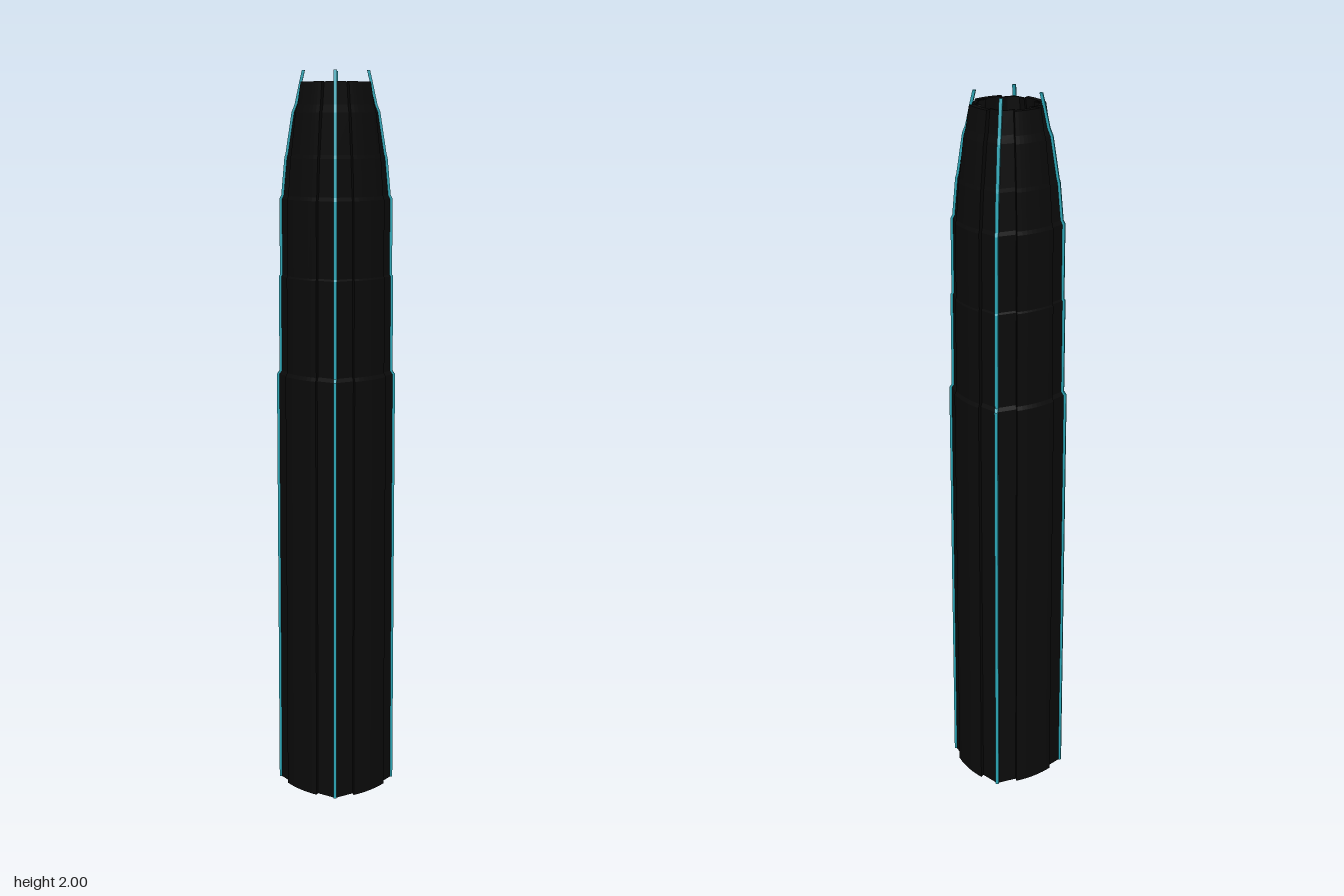
import * as THREE from 'three';

const black = new THREE.MeshStandardMaterial({ color: 0x0b0b0b, flatShading: true, side: THREE.DoubleSide });
const teal = new THREE.MeshStandardMaterial({ color: 0x2aa5b5, flatShading: true, side: THREE.DoubleSide });

// Height and ridge radius, with small setbacks up the tower
const PROFILE = [
  [0, 0.161], [1.18, 0.161], [1.19, 0.154], [1.45, 0.154], [1.455, 0.151], [1.66, 0.151],
  [1.67, 0.146], [1.77, 0.137], [1.78, 0.134], [1.89, 0.117], [1.91, 0.109], [1.97, 0.096],
];
const BASE = PROFILE[0][1];

// Lofts closed [x, z] sections (clockwise seen from above) through the given heights
function loft(heights, sections) {
  const n = sections[0].length;
  const pos = sections.flatMap((s, j) => s.flatMap(([x, z]) => [x, heights[j], z]));
  const index = [];
  for (let j = 0; j < sections.length - 1; j++) {
    for (let i = 0; i < n; i++) {
      const a = j * n + i, b = j * n + (i + 1) % n;
      index.push(a, a + n, b, b, a + n, b + n);
    }
  }
  const cap = (s, offset, flip) => {
    const points = s.map(([x, z]) => new THREE.Vector2(x, z));
    for (const [a, b, c] of THREE.ShapeUtils.triangulateShape(points, [])) {
      index.push(offset + a, offset + (flip ? c : b), offset + (flip ? b : c));
    }
  };
  cap(sections[0], 0, false);
  cap(sections[sections.length - 1], (sections.length - 1) * n, true);
  const g = new THREE.BufferGeometry();
  g.setAttribute('position', new THREE.Float32BufferAttribute(pos, 3));
  g.setIndex(index);
  const flat = g.toNonIndexed();
  flat.computeVertexNormals();
  return flat;
}

// Gently bowed wall panel, facing +x
function panelSection(r) {
  const k = 0.3 + 0.7 * r / BASE;
  const wall = 0.022 * k;
  const outer = [], inner = [];
  for (let i = -4; i <= 4; i++) {
    const u = i / 4, a = u * THREE.MathUtils.degToRad(24);
    const R = (0.141 + 0.006 * u * u) * (r / BASE) * 1.0 + (1 - r / BASE) * 0.03;
    outer.push([R * Math.cos(a), R * Math.sin(a)]);
    inner.unshift([(R - wall) * Math.cos(a), (R - wall) * Math.sin(a)]);
  }
  return [...outer, ...inner];
}

// Wedge-shaped corner rib, its ridge pointing along +x
function ribSection(r) {
  const k = r / BASE;
  const tip = r - 0.002;
  const inner = THREE.MathUtils.lerp(0.08, 0.095, (k - 0.6) / 0.4);
  return [
    [tip, 0], [0.122 * k, 0.055 * k], [0.104 * k, 0.052 * k], [inner, 0.026 * k],
    [inner, -0.026 * k], [0.104 * k, -0.052 * k], [0.122 * k, -0.055 * k],
  ];
}

// Slim light strip along a ridge
function stripSection(r) {
  const w = 0.0045;
  return [[r + 0.002, -w], [r + 0.002, w], [r - 0.006, w], [r - 0.006, -w]];
}

export function createModel() {
  const tower = new THREE.Group();
  tower.name = 'tower';
  const heights = PROFILE.map((p) => p[0]);
  const radii = PROFILE.map((p) => p[1]);

  const panel = loft(heights, radii.map(panelSection));
  const rib = loft(heights, radii.map(ribSection));
  // The strips rise above the walls as short tips
  const strip = loft([...heights, 2], [...radii, 0.089].map(stripSection));

  const add = (geometry, material, name, angle) => {
    const mesh = new THREE.Mesh(geometry, material);
    mesh.name = name;
    mesh.rotation.y = angle;
    tower.add(mesh);
  };
  ['left', 'back', 'right', 'front'].forEach((side, i) => {
    const angle = i * Math.PI / 2;
    add(rib, black, side + 'Rib', angle);
    add(strip, teal, side + 'LightStrip', angle);
    add(panel, black, side + 'WallPanel', angle + Math.PI / 4);
  });

  // The tower is turned slightly about its axis
  tower.rotation.y = -0.05;
  tower.position.x = 0.0125;
  const model = new THREE.Group();
  model.name = 'skyscraper';
  model.add(tower);
  return model;
}
